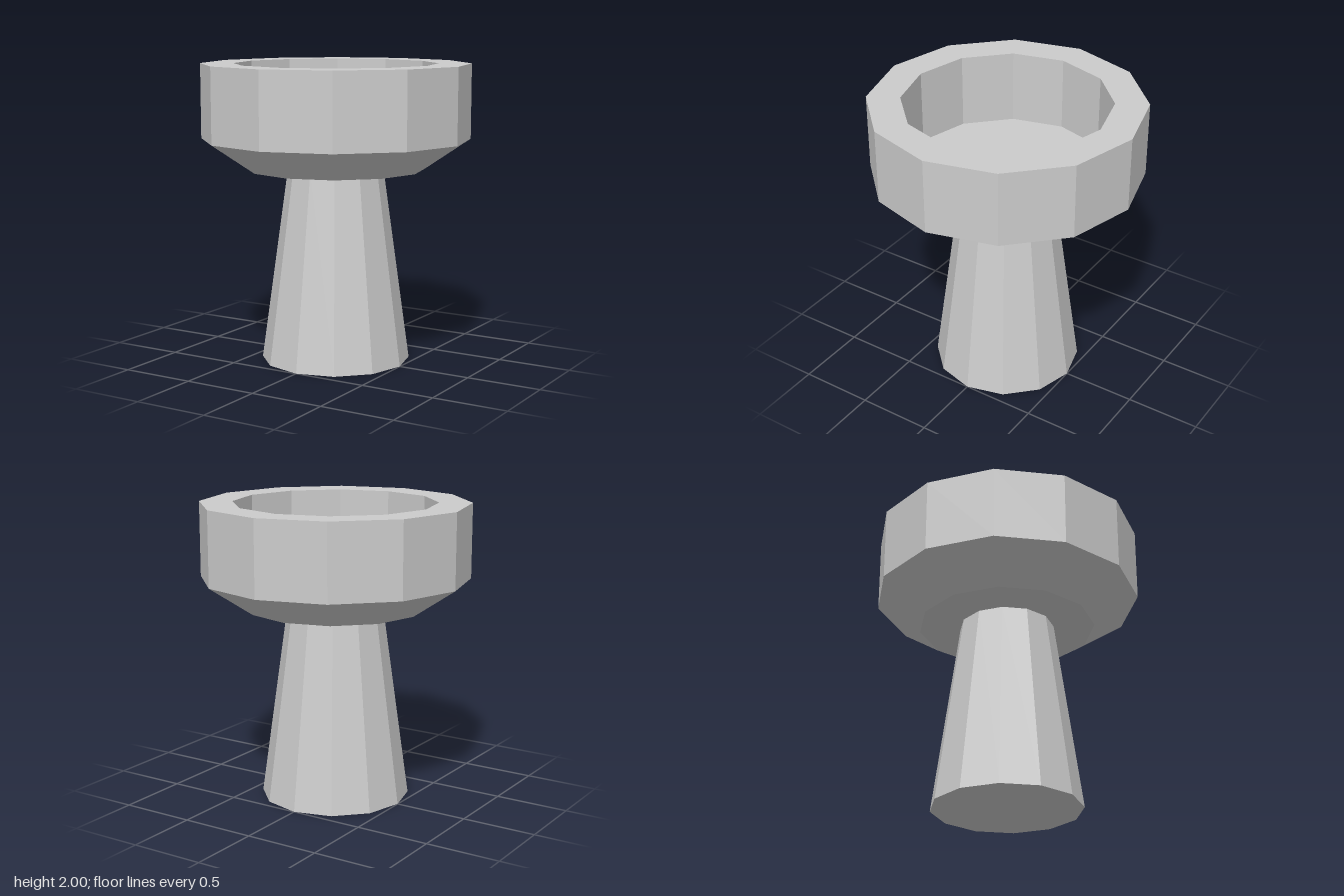
import * as THREE from 'three';

const SIDES = 12;

export function createModel() {
  const group = new THREE.Group();
  const material = new THREE.MeshStandardMaterial({ color: 0xcccccc, flatShading: true });

  // Revolves a [radius, height] profile, listed from the bottom up
  const addTurned = (name, profile) => {
    const points = profile.map(([r, y]) => new THREE.Vector2(r, y));
    const mesh = new THREE.Mesh(new THREE.LatheGeometry(points, SIDES), material);
    mesh.name = name;
    group.add(mesh);
  };

  // Tapered pedestal with a closed base
  addTurned('pedestal', [[0, 0], [0.5, 0], [0.32, 1.3]]);

  // Basin: sloped underside, upright wall, flat rim, inner wall and floor
  addTurned('basin', [
    [0, 1.3], [0.6, 1.3], [0.9, 1.5], [0.9, 2],
    [0.68, 2], [0.68, 1.5], [0, 1.5],
  ]);

  return group;
}
